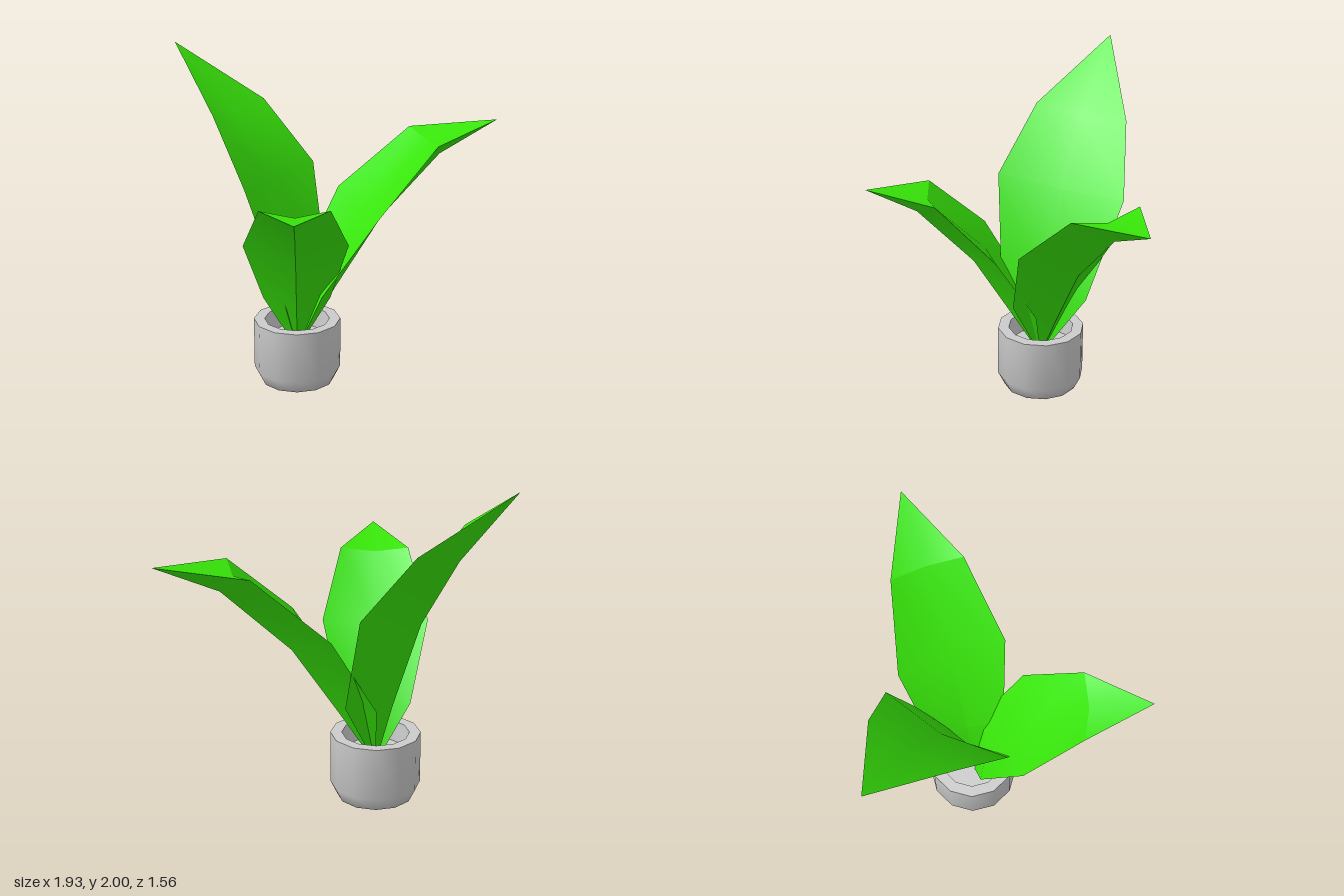
import * as THREE from 'three';
import { toCreasedNormals } from 'three/addons/utils/BufferGeometryUtils.js';

const CENTER = new THREE.Vector3(-0.245, 0, -0.255);
const BASE_Y = 0.22;
const TOP_FOLD = 0.3; // depth of the upper fold compared with the keel below

const potMaterial = new THREE.MeshStandardMaterial({ color: 0xcccccc });
const leafMaterial = new THREE.MeshStandardMaterial({ color: 0x38e60a });

// Each leaf grows from the pot's centre along a heading (x, z).
// keel: [outward, height]; edge: [outward, height, half width], from base to tip.
// twist: how far the leaf is rolled about its own length.
const LEAVES = [
  {
    name: 'frontLeaf', heading: [0, 1], twist: 0, tip: [1.03, 1.37],
    keel: [[0.17, 0.5], [0.405, 0.88], [0.735, 1.22]],
    edge: [[0.055, 0.575, 0.2], [0.305, 0.995, 0.305], [0.645, 1.325, 0.2]],
  },
  {
    name: 'leftLeaf', heading: [1.21, -0.395], twist: 0.04, tip: [1.273, 1.545],
    keel: [[0.21, 0.55], [0.495, 0.98], [0.9, 1.37]],
    edge: [[0.075, 0.63, 0.217], [0.38, 1.115, 0.325], [0.795, 1.487, 0.217]],
  },
  {
    name: 'tallRightLeaf', heading: [-0.725, -0.515], twist: 0.11, tip: [0.889, 2.0],
    keel: [[0.13, 0.62], [0.32, 1.16], [0.55, 1.565]],
    edge: [[-0.03, 0.68, 0.27], [0.15, 1.285, 0.395], [0.437, 1.66, 0.283]],
  },
];

// Solid leaf: diamond cross-sections (edge, keel, edge, upper fold) between two points
function makeLeaf({ name, heading, twist, tip, keel, edge }) {
  const out = new THREE.Vector2(...heading).normalize();
  const place = (r, y, w) => new THREE.Vector3(out.x * r - out.y * w, y, out.y * r + out.x * w);

  const rows = [Array(4).fill(place(0, BASE_Y, 0))];
  keel.forEach(([keelR, keelY], i) => {
    const [r, y, half] = edge[i];
    const side = (s) => place(
      r + s * half * twist * 0.9,
      y - s * half * twist * 0.5,
      s * half + half * twist
    );
    const left = side(-1), right = side(1);
    const bottom = place(keelR, keelY, half * twist * 0.8);
    const top = left.clone().lerp(right, 0.5).lerp(bottom, TOP_FOLD);
    rows.push([left, bottom, right, top]);
  });
  rows.push(Array(4).fill(place(...tip, 0)));

  const points = [];
  for (let i = 0; i < rows.length - 1; i++) {
    for (let j = 0; j < 4; j++) {
      const k = (j + 1) % 4;
      const a = rows[i][j], b = rows[i][k], c = rows[i + 1][k], d = rows[i + 1][j];
      if (i > 0) points.push(a, c, b);
      if (i < rows.length - 2) points.push(a, d, c);
    }
  }
  const geometry = new THREE.BufferGeometry().setFromPoints(points);
  const mesh = new THREE.Mesh(toCreasedNormals(geometry, 0.5), leafMaterial);
  mesh.name = name;
  return mesh;
}

// Twelve-sided surface turned around the pot's axis
function turned(name, profile, crease) {
  const geometry = new THREE.LatheGeometry(profile.map((p) => new THREE.Vector2(...p)), 12);
  const mesh = new THREE.Mesh(toCreasedNormals(geometry, crease), potMaterial);
  mesh.name = name;
  return mesh;
}

function makePot() {
  const pot = new THREE.Group();
  pot.name = 'pot';
  pot.add(
    turned('potBase', [[0, 0], [0.13, 0]], 0.1),
    turned('potWall', [[0.13, 0], [0.22, 0.03], [0.26, 0.11], [0.26, 0.42]], 1),
    turned('potRim', [[0.26, 0.42], [0.195, 0.42], [0.185, 0.3], [0, 0.3]], 0.65)
  );
  return pot;
}

export function createModel() {
  const group = new THREE.Group();
  group.name = 'pottedPlant';
  const plant = new THREE.Group();
  plant.name = 'plant';
  plant.position.copy(CENTER);
  plant.add(makePot(), ...LEAVES.map(makeLeaf));
  group.add(plant);
  return group;
}
